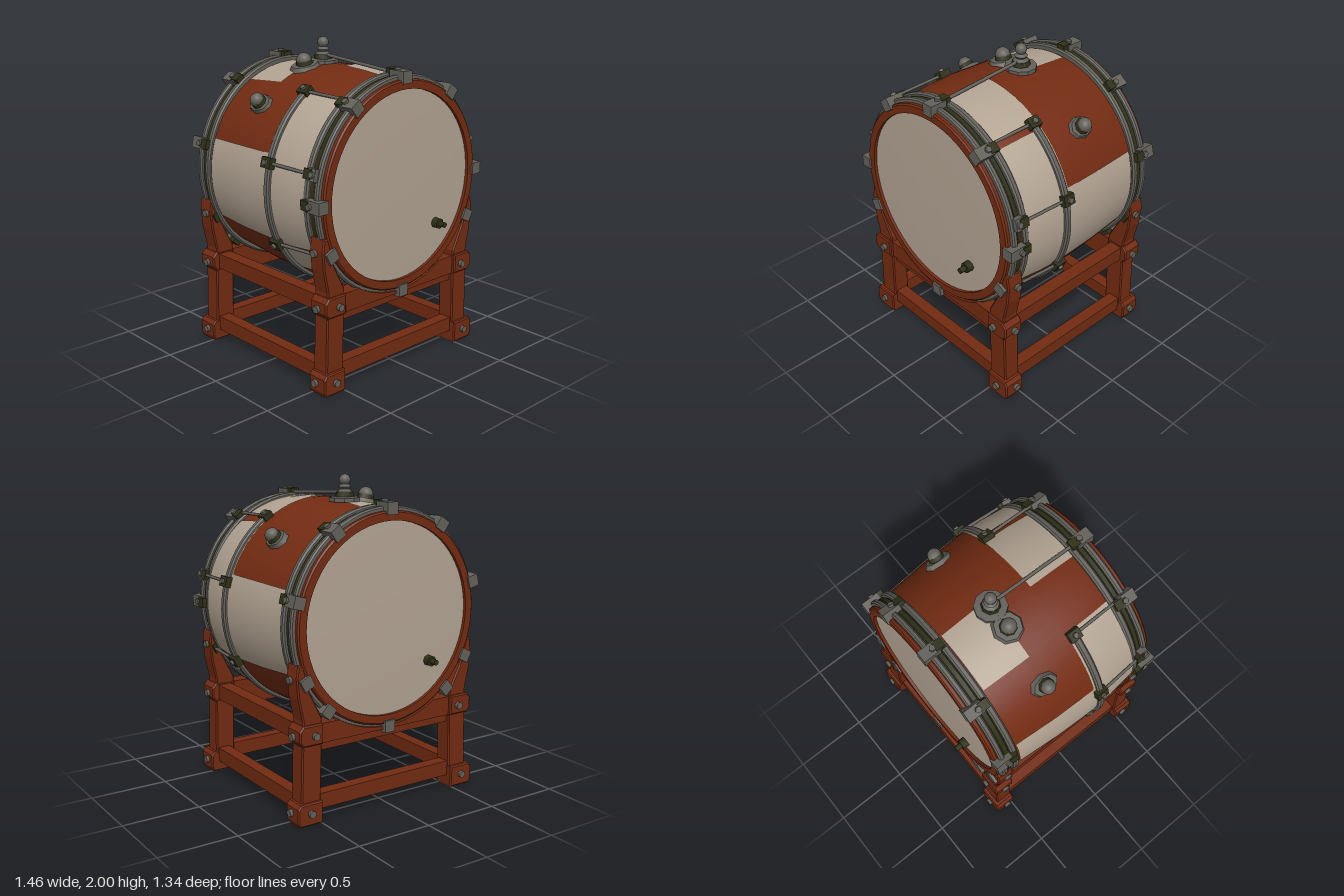
import * as THREE from 'three';
import { toCreasedNormals } from 'three/addons/utils/BufferGeometryUtils.js';

const mat = (name, color) => Object.assign(new THREE.MeshStandardMaterial({ color }), { name });
const rad = THREE.MathUtils.degToRad;
const CY = 1.167; // height of the drum axis
const SQUASH = 0.975; // the barrel is slightly wider than tall

// Barrel radius along z
const PROFILE = [[-0.58, 0.635], [-0.45, 0.658], [-0.15, 0.684], [0.12, 0.695], [0.3, 0.686], [0.46, 0.668], [0.58, 0.635]];
function barrelRadius(z) {
  for (let i = 1; i < PROFILE.length; i++) {
    const [z0, r0] = PROFILE[i - 1], [z1, r1] = PROFILE[i];
    if (z <= z1) return r0 + (r1 - r0) * (z - z0) / (z1 - z0);
  }
  return 0.635;
}

// Surface of revolution about z; angles in degrees from +x towards +y
function revolve(points, a0 = 0, a1 = 360, segments = 64) {
  const pts = points.map(([z, r]) => new THREE.Vector2(r, z));
  const g = new THREE.LatheGeometry(pts, segments, rad(a0 + 90), rad(a1 - a0));
  return toCreasedNormals(g.rotateX(Math.PI / 2), 0.6);
}
const ring = (z0, z1, rIn, rOut, a0, a1) => {
  const c = Math.min(0.01, (z1 - z0) / 4);
  return revolve([[z0, rIn], [z0, rOut - c], [z0 + c, rOut], [z1 - c, rOut], [z1, rOut - c], [z1, rIn], [z0, rIn]], a0, a1);
};

export function createModel() {
  const root = new THREE.Group();
  root.name = 'barrelDrum';
  const wood = mat('redWood', 0x732b12);
  const hide = mat('paleHide', 0xb3a493);
  const iron = mat('greyIron', 0x64615b);
  const moss = mat('darkMoss', 0x2f3018);

  const add = (parent, name, geo, material, x = 0, y = 0, z = 0) => {
    const m = new THREE.Mesh(geo, material);
    m.name = name;
    m.position.set(x, y, z);
    parent.add(m);
    return m;
  };
  const box = (w, h, d) => new THREE.BoxGeometry(w, h, d);
  const rod = (parent, name, a, b, r, material, sides = 8) => {
    const p = new THREE.Vector3(...a), q = new THREE.Vector3(...b);
    const m = add(parent, name, new THREE.CylinderGeometry(r, r, p.distanceTo(q), sides), material);
    m.position.copy(p).add(q).multiplyScalar(0.5);
    m.quaternion.setFromUnitVectors(new THREE.Vector3(0, 1, 0), q.sub(p).normalize());
    return m;
  };

  const drum = new THREE.Group();
  drum.name = 'drum';
  drum.position.y = CY;
  root.add(drum);
  const barrel = new THREE.Group();
  barrel.name = 'barrel';
  barrel.scale.y = SQUASH;
  drum.add(barrel);
  add(barrel, 'barrelShell', revolve(PROFILE), wood);

  // Pale hide patches laid over the staves
  const patch = (name, z0, z1, a0, a1) => {
    const pts = [];
    for (let i = 0; i <= 6; i++) {
      const z = z0 + (z1 - z0) * i / 6;
      pts.push([z, barrelRadius(z) + 0.005]);
    }
    const m = add(barrel, name, revolve(pts, a0, a1, 24), hide);
    m.material.side = THREE.DoubleSide;
  };
  patch('rightFrontPatch', 0.13, 0.46, 122, 208);
  patch('leftFrontPatch', 0.13, 0.46, -28, 52);
  patch('topFrontPatch', -0.0 + 0.13, 0.46, 57, 94);
  patch('topBackPatch', -0.44, -0.12, 86, 120);
  for (const flip of [false, true]) {
    const span = (a, b) => (flip ? [180 - b, 180 - a] : [a, b]);
    patch('sidePatch', -0.44, 0.14, ...span(-27, 20));
    patch('lowerPatch', 0.2, 0.43, ...span(-48, -30));
  }

  // Rim stacks and drum heads at both ends
  for (const s of [1, -1]) {
    const rim = new THREE.Group();
    rim.name = s > 0 ? 'frontRim' : 'backRim';
    rim.rotation.y = s > 0 ? 0 : Math.PI;
    drum.add(rim);
    add(rim, 'innerHoop', ring(0.45, 0.492, 0.62, 0.678), iron);
    add(rim, 'ropeGroove', ring(0.49, 0.537, 0.62, 0.66), moss);
    add(rim, 'outerHoop', ring(0.535, 0.572, 0.62, 0.674), iron);
    add(rim, 'woodenRim', ring(0.565, 0.603, 0.59, 0.648), wood);
    add(rim, 'drumHead', revolve([[0.583, 0.6], [0.588, 0.4], [0.59, 0.0001]]), hide);

    // Peg through the head
    rod(rim, 'headPeg', [0.305, -0.295, 0.57], [0.305, -0.295, 0.672], 0.018, moss);
    rod(rim, 'headPegCollar', [0.305, -0.295, 0.58], [0.305, -0.295, 0.63], 0.034, moss, 8);

    // Clamps gripping the rim
    const angles = s > 0 ? [90, 53, 127, 15, 165, 0, 180, -27, 207, -90] : [90, 55, 125, 15, 165, -27, 207, -48, 228, -90];
    for (const a of angles) {
      const clamp = new THREE.Group();
      clamp.name = 'rimClamp';
      clamp.rotation.z = rad(a);
      rim.add(clamp);
      // The clamps in line with the side rods sit behind the rim face
      const rear = s > 0 && (a === 15 || a === 165);
      add(clamp, 'clampJaw', box(0.075, 0.075, rear ? 0.06 : 0.115), iron, 0.662, 0, rear ? 0.525 : 0.558);
      add(clamp, 'clampBlock', box(0.05, 0.06, 0.06), moss, 0.68, 0, 0.495);
      rod(clamp, 'clampBolt', [0.67, 0, 0.535], [0.715, 0, 0.535], 0.02, iron, 6);
    }
  }

  // Middle hoop, open across the top, with rods to the front rim
  add(barrel, 'middleHoop', ring(0.145, 0.19, 0.67, 0.72, 125, 415), iron);
  for (const a of [55, 125, 15, 165, -27, 207, -90]) {
    const joint = new THREE.Group();
    joint.name = 'hoopJoint';
    joint.rotation.z = rad(a);
    drum.add(joint);
    const r = a === 55 || a === 125 || a === -90 ? 0.692 : 0.708;
    add(joint, 'hoopBlock', box(0.055, 0.065, 0.08), moss, r, 0, 0.165);
    rod(joint, 'hoopBolt', [r, 0, 0.165], [r + 0.042, 0, 0.165], 0.018, iron, 6);
    if (a !== -90) rod(joint, 'tensionRod', [r + 0.005, 0, 0.16], [0.69, 0, 0.5], 0.01, iron);
  }

  // Domed studs on the upper shoulders
  const stud = (name, a, r, z, plate, dome) => {
    const g = new THREE.Group();
    g.name = name;
    g.position.set(r * Math.cos(rad(a)), r * Math.sin(rad(a)), z);
    g.rotation.z = rad(a - 90);
    drum.add(g);
    const base = add(g, 'studPlate', new THREE.CylinderGeometry(plate * 0.85, plate, 0.03, 8), iron, 0, 0.005);
    add(g, 'studCollar', new THREE.CylinderGeometry(dome, dome * 1.15, 0.035, 8), moss, 0, 0.03);
    add(g, 'studDome', new THREE.SphereGeometry(dome, 12, 8, 0, Math.PI * 2, 0, Math.PI / 2), iron, 0, 0.045);
    return base;
  };
  for (const a of [43, 137]) stud('shoulderStud', a, 0.678, -0.13, 0.095, 0.045).scale.x = 0.75;
  stud('topStud', 103, 0.672, -0.12, 0.1, 0.048);

  // Turned finial on top, with a stay running to the front rim
  const finial = [[0, 0.1], [0.025, 0.1], [0.03, 0.055], [0.06, 0.05], [0.075, 0.03], [0.09, 0.042], [0.105, 0.024], [0.113, 0.024]];
  add(root, 'finialBase', toCreasedNormals(new THREE.LatheGeometry(finial.map(([y, r]) => new THREE.Vector2(r, y)), 10), 0.6), iron, 0, 1.832, -0.12);
  add(root, 'finialCollar', new THREE.CylinderGeometry(0.054, 0.06, 0.03, 8), moss, 0, 1.874, -0.12);
  add(root, 'finialBall', new THREE.SphereGeometry(0.036, 14, 10), iron, 0, 1.964, -0.12);
  rod(root, 'topStay', [0, 1.89, -0.12], [0, 1.845, 0.5], 0.011, iron);

  // Stand: legs, feet, rails and cradles
  const stand = new THREE.Group();
  stand.name = 'stand';
  root.add(stand);
  const bolt = (p, dir) => {
    const q = p.map((v, i) => v + dir[i] * 0.025);
    rod(stand, 'standBolt', p, q, 0.024, iron, 6);
  };
  const plank = (points, depth) => new THREE.ExtrudeGeometry(new THREE.Shape(points.map(([x, y]) => new THREE.Vector2(x, y))),
    { depth, bevelEnabled: true, bevelSize: 0.008, bevelThickness: 0.008, bevelSegments: 1 }).translate(0, 0, -depth / 2);
  const leg = [[0.5, 0.1], [0.62, 0.1], [0.61, 0.48], [0.605, 0.64], [0.635, 0.78], [0.645, 0.9], [0.635, 0.965], [0.615, 0.965], [0.57, 0.8], [0.49, 0.64], [0.49, 0.48]];
  const foot = [[0.5, 0.008], [0.645, 0.008], [0.655, 0.03], [0.655, 0.11], [0.64, 0.13], [0.5, 0.13]];
  const joint = [[0.49, 0.495], [0.615, 0.495], [0.637, 0.52], [0.637, 0.58], [0.615, 0.605], [0.49, 0.605]];
  for (const sx of [1, -1]) {
    for (const sz of [1, -1]) {
      const mirror = (pts) => (sx > 0 ? pts : pts.map(([x, y]) => [-x, y]).reverse());
      add(stand, 'leg', plank(mirror(leg), 0.1), wood, 0, 0, sz * 0.538);
      add(stand, 'foot', plank(mirror(foot), 0.125), wood, 0, 0, sz * 0.55);
      add(stand, 'legJoint', plank(mirror(joint), 0.12), wood, 0, 0, sz * 0.545);
      add(stand, 'jointMoss', box(0.13, 0.015, 0.11), moss, sx * 0.553, 0.484, sz * 0.54);
      bolt([sx * 0.54, 0.545, sz * 0.61], [0, 0, sz]);
      bolt([sx * 0.575, 0.075, sz * 0.615], [0, 0, sz]);
      bolt([sx * 0.64, 0.54, sz * 0.54], [sx, 0, 0]);
      bolt([sx * 0.658, 0.075, sz * 0.54], [sx, 0, 0]);
      bolt([sx * 0.645, 0.88, sz * 0.525], [sx, 0, 0]);
    }
    add(stand, 'sideUpperRail', box(0.09, 0.1, 1.0), wood, sx * 0.555, 0.55, 0);
    add(stand, 'sideLowerRail', box(0.08, 0.095, 1.0), wood, sx * 0.57, 0.115, 0);
  }
  for (const sz of [1, -1]) {
    add(stand, 'crossLowerRail', box(1.04, 0.095, 0.08), wood, 0, 0.12, sz * 0.54);
    add(stand, 'crossUpperRail', box(1.0, 0.06, 0.08), wood, 0, 0.465, sz * 0.53);
    const cradle = new THREE.Shape();
    cradle.moveTo(-0.6, 0.485).lineTo(0.6, 0.485).lineTo(0.6, 0.605).lineTo(0.355, 0.605);
    cradle.absarc(0, CY, 0.664, rad(-57.8), rad(-122.2), true);
    cradle.lineTo(-0.6, 0.605);
    add(stand, 'cradle', new THREE.ExtrudeGeometry(cradle, { depth: 0.1, bevelEnabled: false, curveSegments: 16 }), wood, 0, 0, sz * 0.54 - 0.05);
  }
  return root;
}
